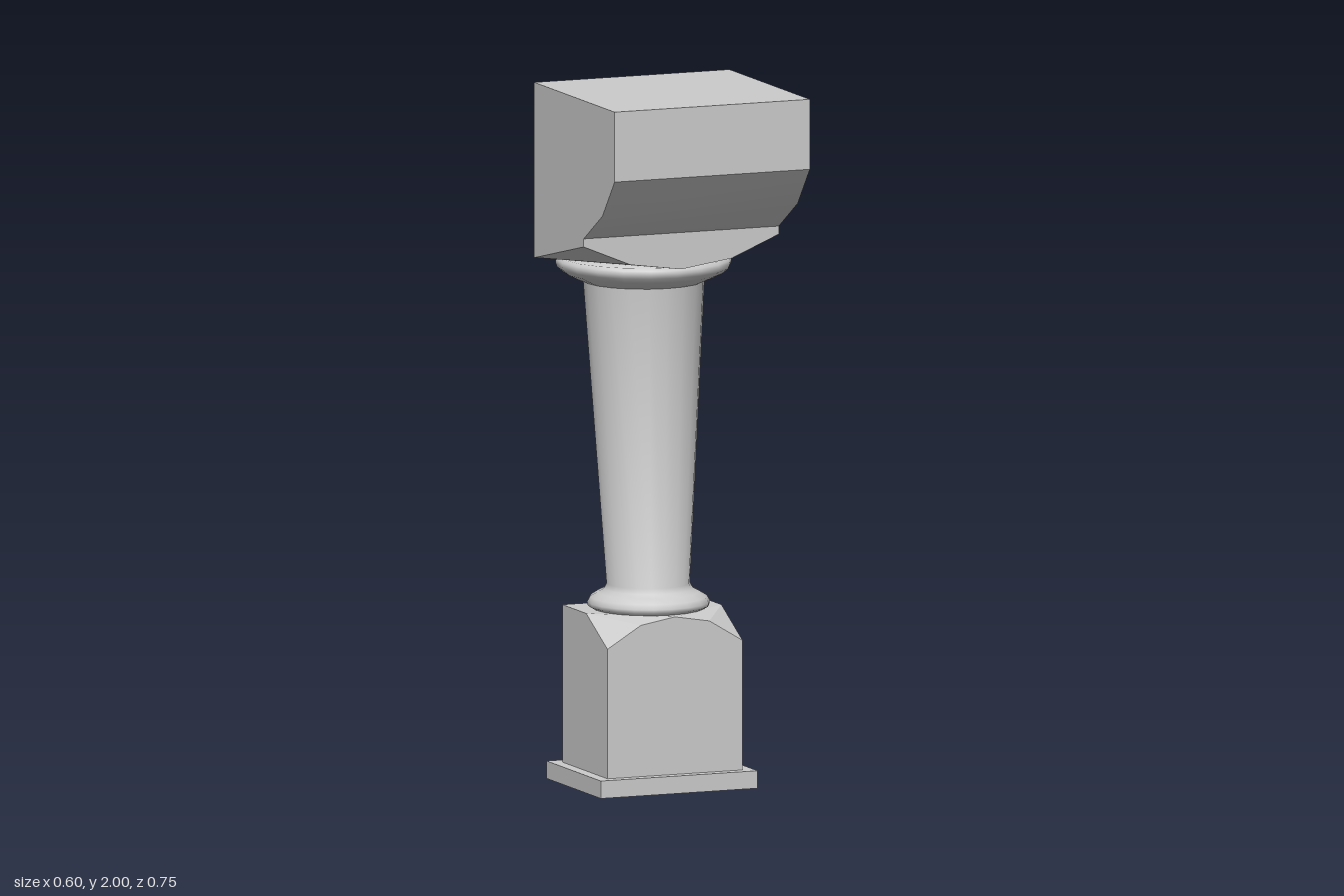
import * as THREE from 'three';
import { toCreasedNormals } from 'three/addons/utils/BufferGeometryUtils.js';
import { ConvexGeometry } from 'three/addons/geometries/ConvexGeometry.js';

const material = new THREE.MeshStandardMaterial({ color: 0xcccccc });

function addPart(group, name, geometry) {
  const mesh = new THREE.Mesh(geometry, material);
  mesh.name = name;
  group.add(mesh);
  return mesh;
}

// Block whose two front corners are cut away towards the face that meets the column.
// yFlat: height of the uncut face, yMid / yCorner: heights of the cut along the front, yFar: other end
function chamferedBlock({ w, zBack, zFront, zCut, yFar, yFlat, yMid, yCorner, xMid }) {
  const points = [new THREE.Vector3(0, yFlat, zFront)];
  for (const s of [-1, 1]) {
    points.push(
      new THREE.Vector3(s * w, yFar, zFront),
      new THREE.Vector3(s * w, yFar, zBack),
      new THREE.Vector3(s * w, yFlat, zBack),
      new THREE.Vector3(s * w, yFlat, zCut),
      new THREE.Vector3(s * w, yCorner, zFront),
      new THREE.Vector3(s * xMid, yMid, zFront)
    );
  }
  return new ConvexGeometry(points);
}

export function createModel() {
  const group = new THREE.Group();
  group.name = 'corbelColumn';

  // Flat plinth
  const plinth = addPart(group, 'plinth', new THREE.BoxGeometry(0.48, 0.05, 0.395));
  plinth.position.set(0, 0.025, -0.0625);

  // Pedestal with cut upper front corners
  addPart(group, 'pedestal', chamferedBlock({
    w: 0.207, zBack: -0.223, zFront: 0.105, zCut: -0.05,
    yFar: 0.05, yFlat: 0.5, yMid: 0.482, yCorner: 0.42, xMid: 0.105
  }));

  // Column that widens upwards, with a rounded ring at each end
  const profile = [
    [0, 0.5], [0.16, 0.5], [0.172, 0.507], [0.174, 0.518], [0.166, 0.532],
    [0.145, 0.545], [0.126, 0.555], [0.118, 0.57],
    [0.172, 1.43], [0.2, 1.442], [0.228, 1.456], [0.245, 1.47],
    [0.25, 1.483], [0.248, 1.492], [0.24, 1.5], [0, 1.5]
  ].map(([r, y]) => new THREE.Vector2(r, y));
  const column = new THREE.LatheGeometry(profile, 20);
  // Lean the axis slightly backwards
  const pos = column.attributes.position;
  for (let i = 0; i < pos.count; i++) {
    pos.setZ(i, pos.getZ(i) - 0.088 - 0.037 * (pos.getY(i) - 0.5));
  }
  addPart(group, 'column', toCreasedNormals(column, 1.0));

  // Lower part of the capital, cut at its front corners
  addPart(group, 'capitalBase', chamferedBlock({
    w: 0.299, zBack: -0.21, zFront: 0.15, zCut: -0.205,
    yFar: 1.605, yFlat: 1.5, yMid: 1.522, yCorner: 1.582, xMid: 0.155
  }));

  // Upper part of the capital: side profile (z, y) with a curved underside, swept across x
  const side = new THREE.Shape([
    [-0.21, 1.605], [0.15, 1.605], [0.287, 1.69], [0.375, 1.8], [0.375, 2], [-0.21, 2]
  ].map(([z, y]) => new THREE.Vector2(z, y)));
  const capital = new THREE.ExtrudeGeometry(side, { depth: 0.598, bevelEnabled: false });
  capital.translate(0, 0, -0.299);
  capital.rotateY(-Math.PI / 2);
  addPart(group, 'capital', toCreasedNormals(capital, 0.5));

  return group;
}
